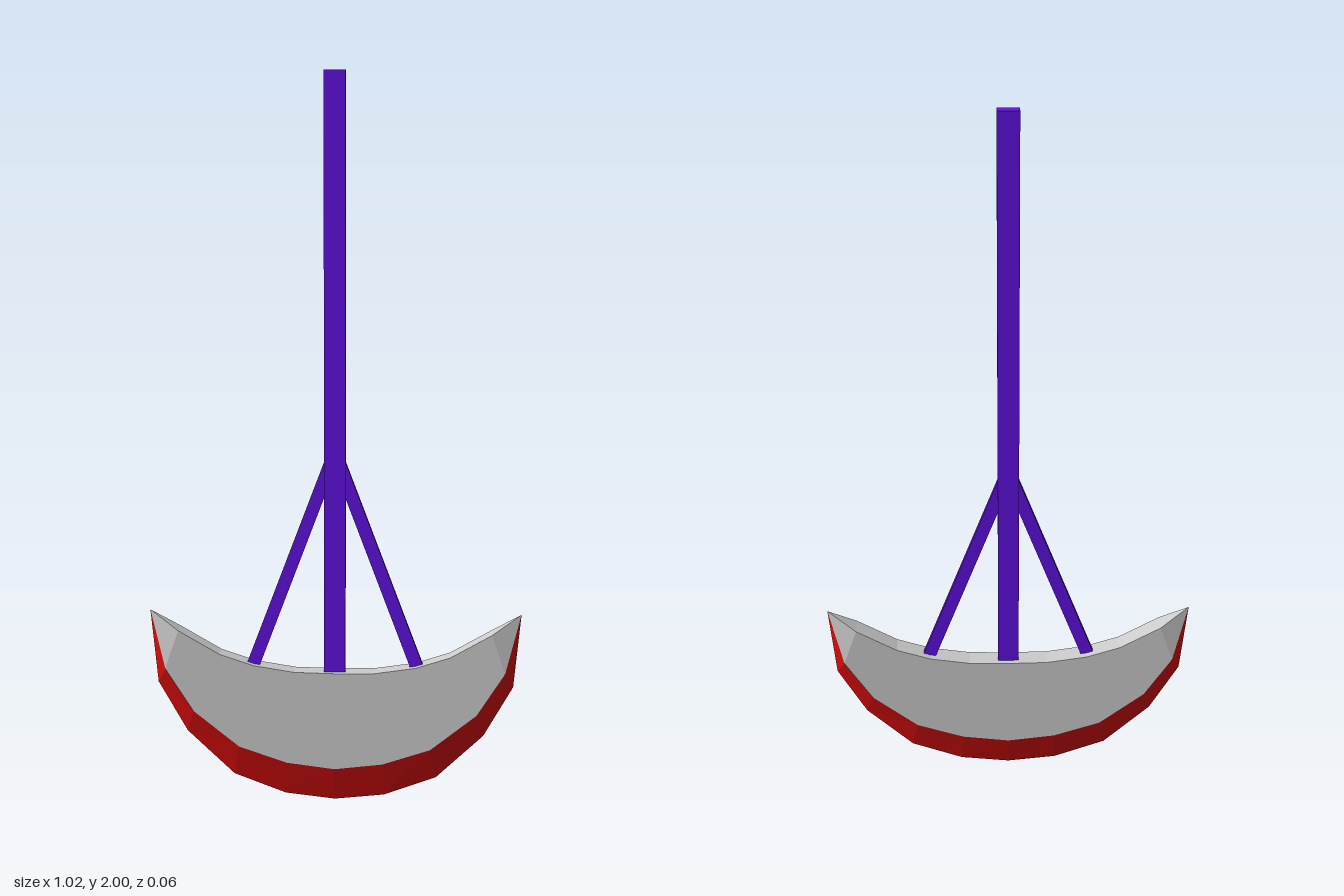
import * as THREE from 'three';

const T = 0.028; // half thickness of the blade
const TIP = [0.51, 0.54];

// Half profiles from the centre line out to the tip
const TOP = [[0, 0.373], [0.11, 0.375], [0.222, 0.392], [0.317, 0.423], [0.43, 0.488], TIP];
const BEVEL = [[0, 0.1], [0.132, 0.116], [0.264, 0.16], [0.39, 0.26], [0.467, 0.38], TIP];
const EDGE = [[0, 0.005], [0.137, 0.02], [0.28, 0.073], [0.41, 0.195], [0.49, 0.335], TIP];

// Mirror a half profile and place it at depth z, with the tips closing to z = 0
function rail(half, z) {
  const left = half.slice(1).reverse().map(([x, y]) => [-x, y]);
  return [...left, ...half].map(([x, y]) =>
    new THREE.Vector3(x, y, Math.abs(x) === TIP[0] ? 0 : z));
}

// Join pairs of rails into flat-shaded strips; the lower rail comes first
function strips(pairs) {
  const pos = [];
  const tri = (a, b, c) => {
    if (a.equals(b) || b.equals(c) || a.equals(c)) return;
    for (const p of [a, b, c]) pos.push(p.x, p.y, p.z);
  };
  for (const [lo, hi] of pairs) {
    for (let i = 0; i < lo.length - 1; i++) {
      tri(lo[i], lo[i + 1], hi[i + 1]);
      tri(lo[i], hi[i + 1], hi[i]);
    }
  }
  const geo = new THREE.BufferGeometry();
  geo.setAttribute('position', new THREE.Float32BufferAttribute(pos, 3));
  geo.computeVertexNormals();
  return geo;
}

function addMesh(parent, name, geometry, color) {
  const material = new THREE.MeshStandardMaterial({ color, flatShading: true });
  const mesh = new THREE.Mesh(geometry, material);
  mesh.name = name;
  parent.add(mesh);
  return mesh;
}

export function createModel() {
  const model = new THREE.Group();
  model.name = 'pendulumBlade';

  const topF = rail(TOP, T), topB = rail(TOP, -T);
  const bevF = rail(BEVEL, T), bevB = rail(BEVEL, -T);
  const edge = rail(EDGE, 0);

  // Crescent body and its sharpened red rim
  addMesh(model, 'bladeBody', strips([[bevF, topF], [topF, topB], [topB, bevB]]), 0xcccccc);
  addMesh(model, 'cuttingEdge', strips([[edge, bevF], [bevB, edge]]), 0xdd0c0c);

  // Central pole
  const purple = 0x6010e0;
  const pole = addMesh(model, 'pole', new THREE.BoxGeometry(0.058, 1.63, 0.025), purple);
  pole.position.y = 1.185;

  // Slanted braces between pole and blade
  for (const side of [1, -1]) {
    const foot = new THREE.Vector3(side * 0.226, 0.388, 0);
    const head = new THREE.Vector3(side * 0.006, 0.97, 0);
    const dir = head.clone().sub(foot);
    const brace = addMesh(model, side > 0 ? 'leftBrace' : 'rightBrace',
      new THREE.BoxGeometry(0.035, dir.length(), 0.016), purple);
    brace.position.copy(foot).add(head).multiplyScalar(0.5);
    brace.rotation.z = Math.atan2(-dir.x, dir.y);
  }
  return model;
}
